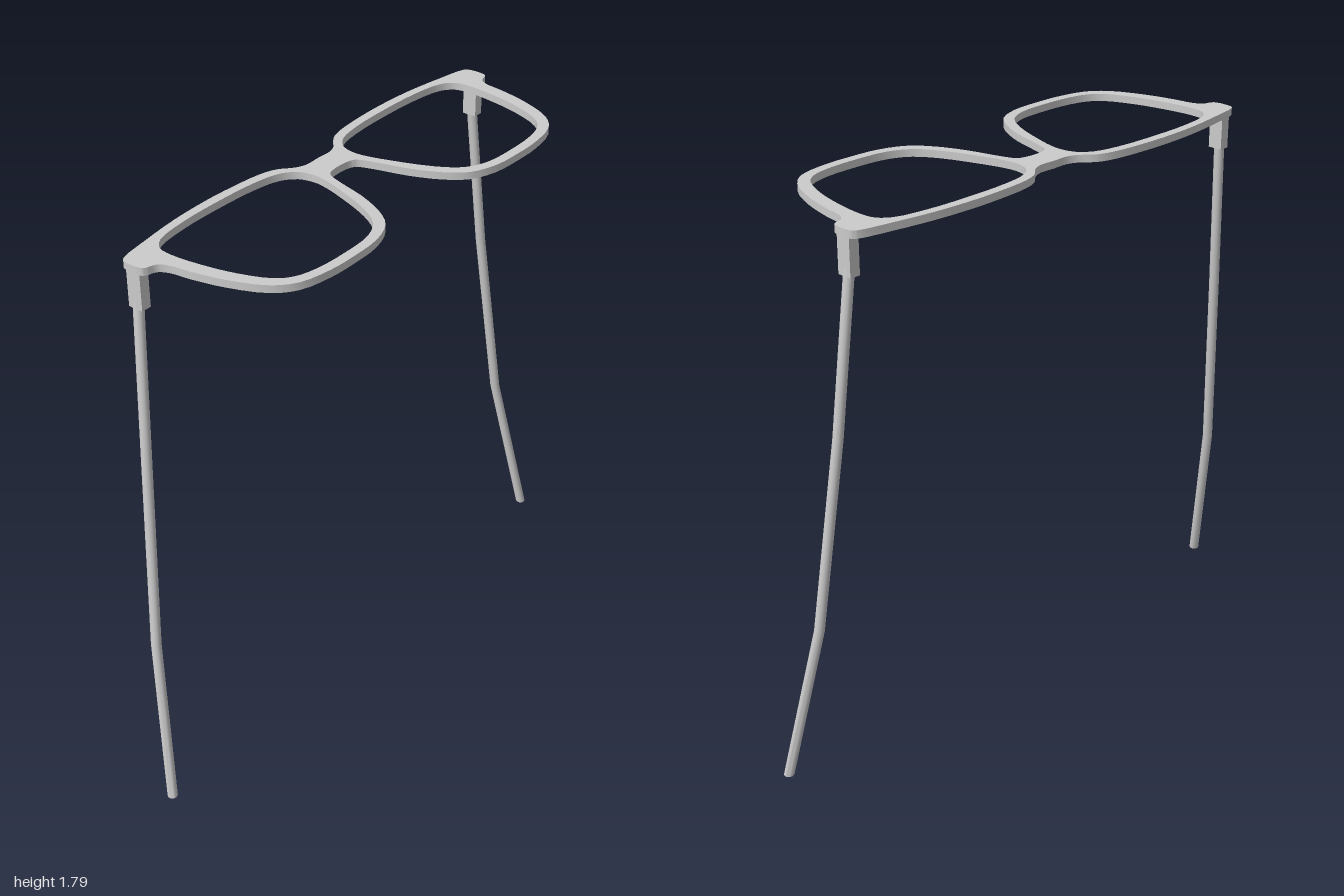
import * as THREE from 'three';
import { toCreasedNormals } from 'three/addons/utils/BufferGeometryUtils.js';

const material = new THREE.MeshStandardMaterial({ color: 0xcccccc });
const TOP = 1.8, THICK = 0.024;

// Half outline of the rims as [x, z], from the bridge's back edge round to its front edge
const halfOutline = [
  [0, -0.188], [0.055, -0.187], [0.09, -0.2], [0.135, -0.237], [0.19, -0.255], [0.3, -0.266], [0.41, -0.269],
  [0.55, -0.262], [0.7, -0.241], [0.795, -0.222], [0.81, -0.208], [0.81, -0.145], [0.8, -0.135],
  [0.77, -0.125], [0.752, -0.095], [0.742, -0.03], [0.715, 0.08], [0.665, 0.19], [0.605, 0.242],
  [0.5, 0.266], [0.4, 0.269], [0.29, 0.261], [0.205, 0.226], [0.155, 0.165], [0.112, 0.07],
  [0.08, -0.045], [0.06, -0.092], [0.03, -0.103], [0, -0.105],
];

// Lens opening as [x, z]
const opening = [
  [0.095, -0.125], [0.108, -0.175], [0.15, -0.211], [0.24, -0.231], [0.4, -0.238], [0.55, -0.233],
  [0.66, -0.213], [0.697, -0.18], [0.705, -0.13], [0.695, -0.03], [0.67, 0.08], [0.63, 0.173],
  [0.59, 0.21], [0.52, 0.231], [0.4, 0.237], [0.29, 0.228], [0.22, 0.193], [0.17, 0.12],
  [0.12, -0.01], [0.1, -0.08],
];

const mirrorX = (points) => points.map(([x, z]) => [-x, z]).reverse();

// Smooth closed loop in the shape plane, where shape y is -z
function smoothLoop(points) {
  const curve = new THREE.CatmullRomCurve3(points.map(([x, z]) => new THREE.Vector3(x, -z, 0)), true);
  return curve.getPoints(points.length * 3).slice(0, -1).map((p) => new THREE.Vector2(p.x, p.y));
}

function addMesh(parent, geometry, name) {
  const mesh = new THREE.Mesh(geometry, material);
  mesh.name = name;
  parent.add(mesh);
  return mesh;
}

// Flat frame front with two lens openings; the outline runs counter-clockwise
function frameGeometry() {
  const outline = [...halfOutline, ...mirrorX(halfOutline).slice(1, -1)];
  const shape = new THREE.Shape(smoothLoop(outline).reverse());
  for (const points of [opening, mirrorX(opening)]) {
    shape.holes.push(new THREE.Path(smoothLoop(points)));
  }
  const geometry = new THREE.ExtrudeGeometry(shape, { depth: THICK, bevelEnabled: false });
  geometry.rotateX(-Math.PI / 2).translate(0, TOP - THICK, 0);
  return toCreasedNormals(geometry, 0.6);
}

// Slender rod whose rings follow the bent temple centreline
function templeGeometry(side) {
  const path = [[0.793, 1.7, -0.181], [0.84, 1.17, -0.154], [0.908, 0.54, -0.109], [0.983, 0.005, -0.015]];
  const geometry = new THREE.CylinderGeometry(0.0165, 0.0165, 1, 10, path.length - 1);
  const pos = geometry.attributes.position;
  for (let i = 0; i < pos.count; i++) {
    const [x, y, z] = path[Math.round((0.5 - pos.getY(i)) * (path.length - 1))];
    pos.setXYZ(i, side * x + pos.getX(i), y, z + pos.getZ(i));
  }
  return toCreasedNormals(geometry, 0.8);
}

export function createModel() {
  const model = new THREE.Group();
  model.name = 'eyeglasses';
  addMesh(model, frameGeometry(), 'frameFront');

  for (const [side, label] of [[1, 'left'], [-1, 'right']]) {
    // Hinge block between frame and temple
    const hinge = addMesh(model, new THREE.BoxGeometry(0.034, 0.13, 0.05), label + 'Hinge');
    hinge.position.set(side * 0.793, 1.725, -0.177);
    addMesh(model, templeGeometry(side), label + 'Temple');
  }
  return model;
}
